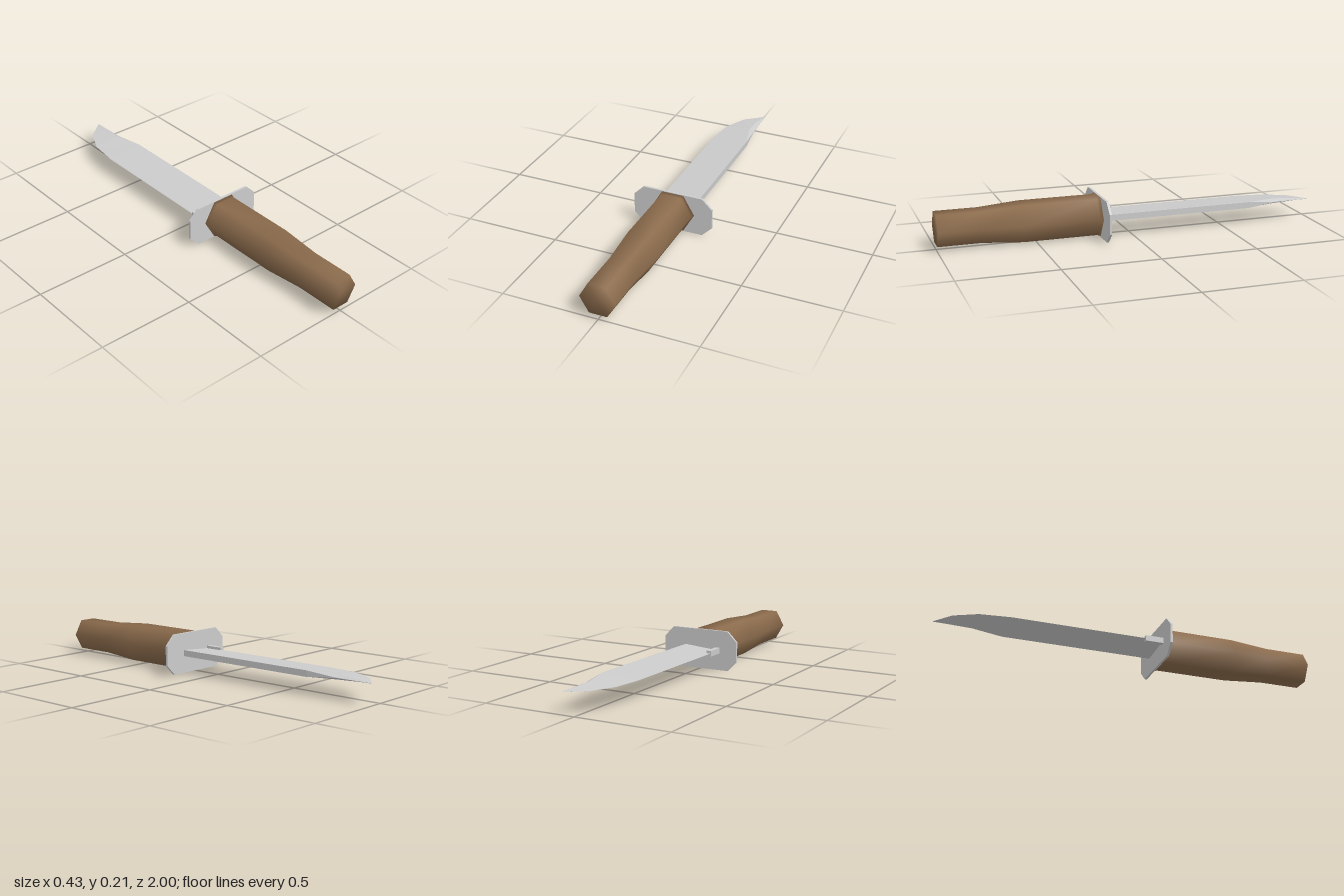
import * as THREE from 'three';
import { mergeVertices } from 'three/addons/utils/BufferGeometryUtils.js';

const MID = 0.105; // height of the knife's long axis

function add(group, name, geometry, material) {
  const mesh = new THREE.Mesh(geometry, material);
  mesh.name = name;
  group.add(mesh);
  return mesh;
}

// Six-sided grip with softly shaded sides and butt
function handleGeometry() {
  const profile = [[0, 0.165], [0.119, 0.165], [0.109, 0.185], [0.109, 0.57], [0.092, 0.78], [0.092, 1], [0, 1]];
  const lathe = new THREE.LatheGeometry(profile.map(([r, z]) => new THREE.Vector2(r, z)), 6, Math.PI / 2);
  lathe.rotateX(Math.PI / 2);
  lathe.deleteAttribute('uv');
  lathe.deleteAttribute('normal');
  const smooth = mergeVertices(lathe, 1e-4);
  smooth.computeVertexNormals();
  return smooth;
}

// Flat octagonal plate
function guardGeometry() {
  const w = 0.213, h = 0.105, c = 0.053;
  const corners = [[w, c - h], [w, h - c], [w - c, h], [c - w, h], [-w, h - c], [-w, c - h], [c - w, -h], [w - c, -h]];
  const shape = new THREE.Shape(corners.map(([x, y]) => new THREE.Vector2(x, y)));
  return new THREE.ExtrudeGeometry(shape, { depth: 0.012, bevelEnabled: false });
}

// Wedge blade: sharp on -x, thick spine on +x thinning into the clipped point
function bladeGeometry() {
  // z, cutting edge x, ridge x, ridge half thickness, spine x, spine half thickness
  const stations = [
    [0.16, -0.11, 0.085, 0.016, 0.09, 0.016],
    [-0.64, -0.11, 0.085, 0.016, 0.09, 0.016],
    [-0.8, -0.09, 0.05, 0.013, 0.077, 0.001],
    [-0.92, -0.03, 0.055, 0.006, 0.072, 0.0005],
    [-1, 0.069, 0.0695, 0.0005, 0.07, 0.0003],
  ];
  const rings = stations.map(([z, edge, ridge, rh, spine, sh]) =>
    [[edge, 0, z], [ridge, -rh, z], [spine, -sh, z], [spine, sh, z], [ridge, rh, z]]);
  const positions = [];
  const tri = (a, b, c) => positions.push(...a, ...b, ...c);
  for (let s = 0; s < rings.length - 1; s++) {
    const near = rings[s], far = rings[s + 1];
    for (let i = 0; i < 5; i++) {
      const j = (i + 1) % 5;
      tri(near[i], far[i], far[j]);
      tri(near[i], far[j], near[j]);
    }
  }
  const tip = rings[rings.length - 1], base = rings[0];
  for (let i = 1; i < 4; i++) {
    tri(base[0], base[i], base[i + 1]);
    tri(tip[0], tip[i + 1], tip[i]);
  }
  const geometry = new THREE.BufferGeometry();
  geometry.setAttribute('position', new THREE.Float32BufferAttribute(positions, 3));
  geometry.computeVertexNormals();
  return geometry;
}

export function createModel() {
  const model = new THREE.Group();
  model.name = 'knife';
  const steel = new THREE.MeshStandardMaterial({ color: 0xcccccc, flatShading: true });
  const wood = new THREE.MeshStandardMaterial({ color: 0x8b6b4c });

  add(model, 'handle', handleGeometry(), wood).position.y = MID;
  add(model, 'guard', guardGeometry(), steel).position.set(0, MID, 0.157);
  add(model, 'blade', bladeGeometry(), steel).position.y = MID;

  // Unsharpened heel beside the guard
  add(model, 'bladeHeel', new THREE.BoxGeometry(0.025, 0.03, 0.098), steel).position.set(-0.1025, MID, 0.111);

  return model;
}
